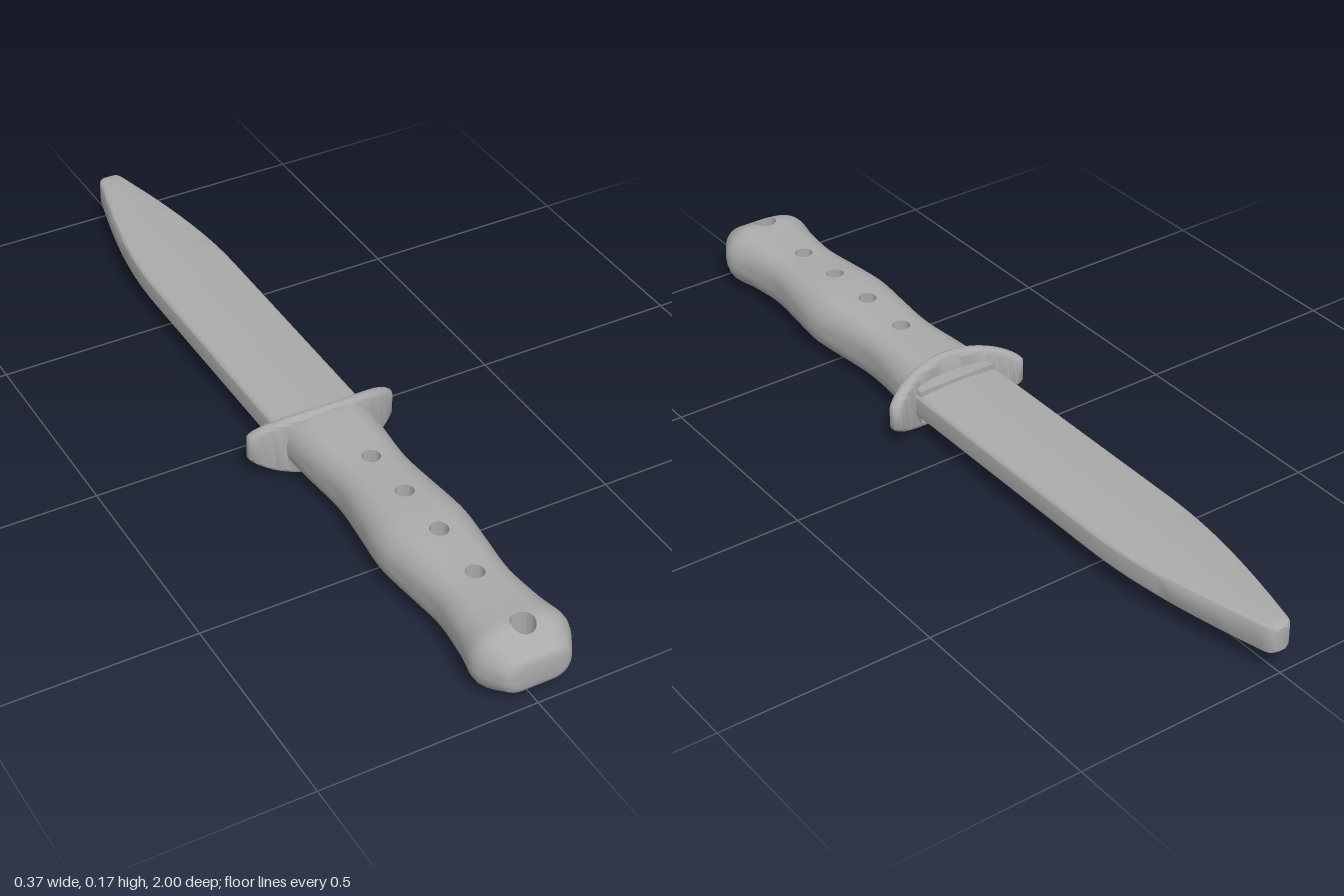
import * as THREE from 'three';
import { toCreasedNormals } from 'three/addons/utils/BufferGeometryUtils.js';

const MID = 0.085; // height of the centre line

// Smooth interpolation through [position, value] pairs
function profile(table) {
  const slope = (i) => {
    const a = table[Math.max(0, i - 1)], b = table[Math.min(table.length - 1, i + 1)];
    return (b[1] - a[1]) / (b[0] - a[0]);
  };
  return (t) => {
    let i = 0;
    while (i < table.length - 2 && t > table[i + 1][0]) i++;
    const [t0, v0] = table[i], [t1, v1] = table[i + 1], d = t1 - t0;
    const u = Math.min(1, Math.max(0, (t - t0) / d)), u2 = u * u, u3 = u2 * u;
    return v0 * (2 * u3 - 3 * u2 + 1) + v1 * (3 * u2 - 2 * u3)
      + d * (slope(i) * (u3 - 2 * u2 + u) + slope(i + 1) * (u3 - u2));
  };
}

// Collects triangles and turns them into a mesh
class Surface {
  pos = [];
  tri(a, b, c) { this.pos.push(...a, ...b, ...c); }
  quad(a, b, c, d) { this.tri(a, b, c); this.tri(a, c, d); }
  cap(ring, flip) {
    const c = [0, 1, 2].map((k) => ring.reduce((s, p) => s + p[k], 0) / ring.length);
    ring.forEach((p, j) => {
      const q = ring[(j + 1) % ring.length];
      flip ? this.tri(c, q, p) : this.tri(c, p, q);
    });
  }
  loft(rows, skip = () => false) {
    for (let i = 0; i < rows.length - 1; i++) {
      const a = rows[i], b = rows[i + 1], n = a.length;
      for (let j = 0; j < n; j++) {
        const k = (j + 1) % n;
        if (!skip(i, j)) this.quad(a[j], a[k], b[k], b[j]);
      }
    }
    this.cap(rows[0], true);
    this.cap(rows[rows.length - 1], false);
    return this;
  }
  mesh(name, material, crease = 0.6) {
    let g = new THREE.BufferGeometry();
    g.setAttribute('position', new THREE.Float32BufferAttribute(this.pos, 3));
    g = toCreasedNormals(g, crease);
    g.translate(0, MID, 0);
    const m = new THREE.Mesh(g, material);
    m.name = name;
    return m;
  }
}

// Right half of a rounded rectangle, bottom to top
function halfSection(hw, hh, r, n = 7) {
  const pts = [];
  for (const side of [-1, 1]) for (let i = 0; i <= n; i++) {
    const a = (i / n + (side < 0 ? -1 : 0)) * Math.PI / 2;
    pts.push([hw - r + r * Math.cos(a), side * (hh - r) + r * Math.sin(a)]);
  }
  return pts;
}
const closeSection = (half) => [...half, ...half.map(([u, v]) => [-u, -v])];

function makeHandle(material) {
  const width = profile([[0.14, 0.107], [0.2, 0.102], [0.34, 0.088], [0.44, 0.097], [0.55, 0.11],
    [0.65, 0.099], [0.75, 0.088], [0.85, 0.099], [0.915, 0.113], [0.94, 0.109], [0.985, 0.083],
    [0.996, 0.073], [1, 0.06]]);
  const height = profile([[0.14, 0.074], [0.2, 0.072], [0.34, 0.068], [0.55, 0.077], [0.75, 0.067],
    [0.85, 0.071], [0.92, 0.076], [0.94, 0.071], [0.985, 0.047], [0.996, 0.039], [1, 0.028]]);
  const holes = [[0.33, 0.021], [0.47, 0.021], [0.61, 0.021], [0.75, 0.021], [0.928, 0.027]];
  const S = 0.035, N = 6; // half-width of the flat middle strip, rows per half hole cell side
  const inCell = (z) => holes.some(([c]) => Math.abs(z - c) < S + 1e-4);

  let zs = [1];
  for (let z = 0.14; z < 0.999; z += z > 0.96 ? 0.004 : 0.014) if (!inCell(z)) zs.push(z);
  for (const [c] of holes) for (let i = 0; i <= N; i++) zs.push(c - S + 2 * S * i / N);
  zs.sort((a, b) => a - b);

  const rows = zs.map((z) => {
    const w = width(z), h = height(z), r = Math.min(w - S - 0.001, h - 0.004);
    return closeSection([[S, -h], ...halfSection(w, h, r), [S, h]]).map(([x, y]) => [x, y, z]);
  });
  const half = rows[0].length / 2;
  const s = new Surface();
  s.loft(rows, (i, j) => (j + 1) % half === 0 && inCell((zs[i] + zs[i + 1]) / 2));

  // Through holes: square-to-circle patches above and below, joined by a wall
  for (const [c, r] of holes) {
    const inner = [], outer = [];
    for (let k = 0; k < 4; k++) for (let i = 0; i < N; i++) {
      const u = S, v = S * (2 * i / N - 1), l = Math.hypot(u, v);
      const cs = [1, 0, -1, 0][k], sn = [0, 1, 0, -1][k];
      const x = u * cs - v * sn, z = u * sn + v * cs;
      outer.push([x, c + z]);
      inner.push([x * r / l, c + z * r / l]);
    }
    const at = ([x, z], side) => [x, side * height(z), z];
    inner.forEach((p, i) => {
      const k = (i + 1) % inner.length, q = inner[k], P = outer[i], Q = outer[k];
      s.quad(at(p, -1), at(P, -1), at(Q, -1), at(q, -1));
      s.quad(at(p, 1), at(q, 1), at(Q, 1), at(P, 1));
      s.quad(at(p, 1), at(p, -1), at(q, -1), at(q, 1));
    });
  }
  return s.mesh('handle', material, 0.75);
}

function makeGuard(material) {
  const rows = [], N = 48;
  for (let i = 0; i <= N; i++) {
    const x = -0.18 * Math.cos(Math.PI * i / N), e = Math.max(0, Math.abs(x) - 0.168) / 0.0125;
    const t = 0.015 * Math.sqrt(1 - e * e);
    const h = 0.085 * Math.sqrt(1 - (x / 0.19) ** 2);
    const zc = 0.15 - 1.6 * x * x, tilt = Math.atan(3.2 * x);
    rows.push(closeSection(halfSection(h, t, t * 0.95))
      .map(([y, n]) => [x + n * Math.sin(tilt), y, zc + n * Math.cos(tilt)]));
  }
  return new Surface().loft(rows).mesh('guard', material, 0.8);
}

function makeBlade(material) {
  const width = profile([[-1, 0.012], [-0.996, 0.021], [-0.985, 0.029], [-0.96, 0.036], [-0.85, 0.064],
    [-0.75, 0.085], [-0.65, 0.1], [-0.56, 0.107], [-0.45, 0.108], [0.14, 0.108]]);
  const zs = [-1, -0.998, -0.996, -0.993, -0.989, -0.985, -0.975];
  for (let z = -0.96; z < -0.42; z += 0.03) zs.push(z);
  zs.push(-0.4, 0.14);
  const rows = zs.map((z) => {
    const w = width(z), r = Math.min(0.01, w * 0.6);
    const face = (x) => 0.034 - 0.006 * Math.max(0, (x - 0.03) / 0.078); // bevelled faces
    const tip = z < -0.985 ? 0.006 * ((-0.985 - z) / 0.015) ** 2 : 0;
    const edge = halfSection(w, face(w - r) - tip, r, 4);
    const ridge = Math.min(0.03, w - r), h = face(ridge) - tip;
    return closeSection([[ridge, -h], ...edge, [ridge, h]]).map(([x, y]) => [x, y, z]);
  });
  return new Surface().loft(rows).mesh('blade', material);
}

// Block seating the blade in the guard
function makeCollar(material) {
  const rows = [0.1, 0.15].map((z) =>
    closeSection(halfSection(0.103, 0.043, 0.006, 3)).map(([x, y]) => [x, y, z]));
  return new Surface().loft(rows).mesh('collar', material);
}

export function createModel() {
  const grey = new THREE.MeshStandardMaterial({ color: 0xaaaaaa });
  grey.name = 'grey rubber';
  const model = new THREE.Group();
  model.name = 'trainingKnife';
  model.add(makeHandle(grey), makeGuard(grey), makeBlade(grey), makeCollar(grey));
  return model;
}
